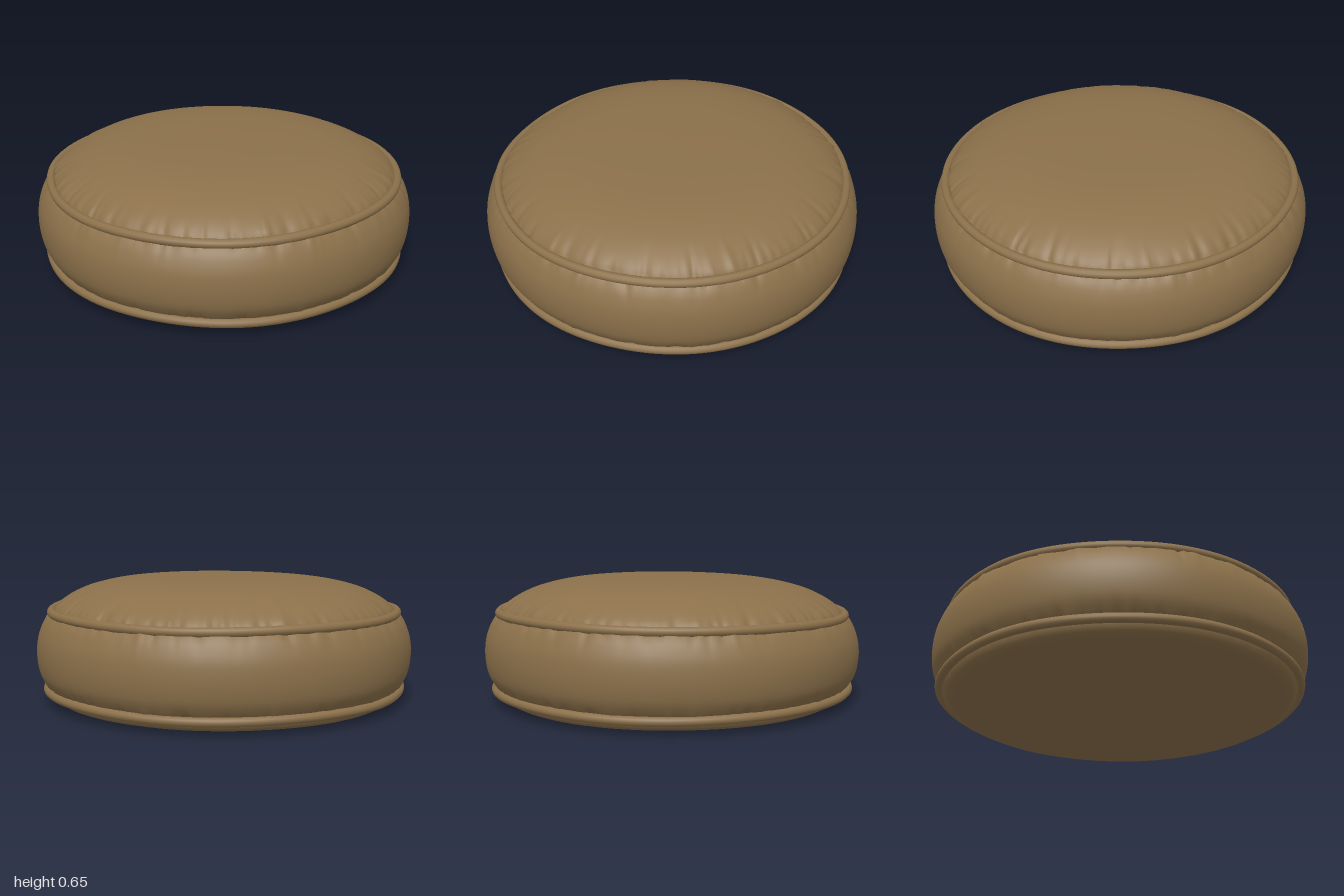
import * as THREE from 'three';

const SEGMENTS = 420;

// small seeded random
function seeded(seed) {
  let s = seed;
  return () => {
    s = (s * 16807) % 2147483647;
    return s / 2147483647;
  };
}

// random gathers around a seam: angle, width, length and depth of each fold
function makePleats(seed, count, length, depth) {
  const rnd = seeded(seed);
  return Array.from({ length: count }, (_, i) => ({
    angle: ((i + rnd()) / count) * Math.PI * 2,
    width: 0.011 + rnd() * 0.018,
    length: length * (0.35 + rnd() * 0.9),
    depth: depth * (0.2 + rnd() * 0.8) * (rnd() < 0.7 ? -1 : 0.7),
    slant: (rnd() - 0.5) * 0.25,
  }));
}

// fold depth at an angle and a distance from the seam
function pleatOffset(pleats, angle, dist) {
  let sum = 0;
  for (const p of pleats) {
    let d = angle - p.angle - p.slant * dist;
    d = Math.atan2(Math.sin(d), Math.cos(d)) / p.width;
    if (Math.abs(d) > 3 || dist > p.length) continue;
    const t = dist / p.length;
    sum += p.depth * Math.exp(-d * d) * (1 - t) * (1 - t) * Math.min(1, 0.25 + dist / 0.03);
  }
  return sum;
}

// slightly uneven hand-sewn outline and a gentle lean of the upper seam
const outline = (a) => 1 + 0.003 * Math.sin(3 * a + 0.5) + 0.002 * Math.sin(7 * a + 2);
const lean = (y, x, z) =>
  THREE.MathUtils.smoothstep(y, 0.1, 0.5) * (-0.009 * z + 0.005 * (x * x - z * z));

// fabric panel swept around the axis, folded near its seamed ends
function makePanel(points, steps, startPleats, endPleats) {
  const curve = new THREE.SplineCurve(points.map(([r, y]) => new THREE.Vector2(r, y)));
  const rows = curve.getSpacedPoints(steps);
  const total = curve.getLength();
  const pos = [];
  const index = [];
  for (let i = 0; i < SEGMENTS; i++) {
    const a = (i / SEGMENTS) * Math.PI * 2;
    for (let j = 0; j <= steps; j++) {
      const p = rows[j];
      const t = rows[Math.min(j + 1, steps)].clone().sub(rows[Math.max(j - 1, 0)]).normalize();
      const along = (j / steps) * total;
      const fold = pleatOffset(startPleats, a, along) + pleatOffset(endPleats, a, total - along);
      const r = Math.max(0, p.x * outline(a) + t.y * fold);
      const x = r * Math.sin(a), z = r * Math.cos(a);
      pos.push(x, p.y - t.x * fold + lean(p.y, x, z), z);
      if (j < steps) {
        const b = i * (steps + 1) + j;
        const c = ((i + 1) % SEGMENTS) * (steps + 1) + j;
        index.push(b, c, b + 1, c + 1, b + 1, c);
      }
    }
  }
  const geo = new THREE.BufferGeometry();
  geo.setAttribute('position', new THREE.Float32BufferAttribute(pos, 3));
  geo.setIndex(index);
  geo.computeVertexNormals();
  return geo;
}

// round cord following a seam
function makePiping(radius, y) {
  const pts = Array.from({ length: 72 }, (_, i) => {
    const a = (i / 72) * Math.PI * 2;
    const r = radius * outline(a);
    const x = r * Math.sin(a), z = r * Math.cos(a);
    return new THREE.Vector3(x, y + lean(y, x, z) + 0.002 * Math.sin(5 * a), z);
  });
  return new THREE.TubeGeometry(new THREE.CatmullRomCurve3(pts, true), 240, 0.023, 12, true);
}

export function createModel() {
  const group = new THREE.Group();
  const fabric = new THREE.MeshStandardMaterial({ color: 0x8b704a });
  fabric.name = 'brown fabric';

  const add = (name, geometry) => {
    const mesh = new THREE.Mesh(geometry, fabric);
    mesh.name = name;
    group.add(mesh);
  };

  // flat underside with a rounded rim
  add('bottomPanel', makePanel(
    [[0, 0.004], [0.4, 0.004], [0.75, 0.006], [0.86, 0.01], [0.905, 0.026], [0.925, 0.055], [0.925, 0.075]],
    36, [], makePleats(11, 60, 0.12, 0.006)));

  // bulging side band
  add('sideBand', makePanel(
    [[0.925, 0.07], [0.955, 0.105], [0.985, 0.165], [0.997, 0.25], [0.99, 0.335], [0.965, 0.405], [0.935, 0.45], [0.91, 0.47]],
    36, makePleats(23, 85, 0.13, 0.011), makePleats(37, 85, 0.18, 0.012)));

  // domed top
  add('topPanel', makePanel(
    [[0.91, 0.468], [0.885, 0.505], [0.82, 0.55], [0.72, 0.593], [0.58, 0.626], [0.42, 0.642], [0.2, 0.65], [0, 0.653]],
    56, makePleats(51, 95, 0.24, 0.017), []));

  // piping on both seams
  add('lowerPiping', makePiping(0.945, 0.072));
  add('upperPiping', makePiping(0.918, 0.468));

  return group;
}
